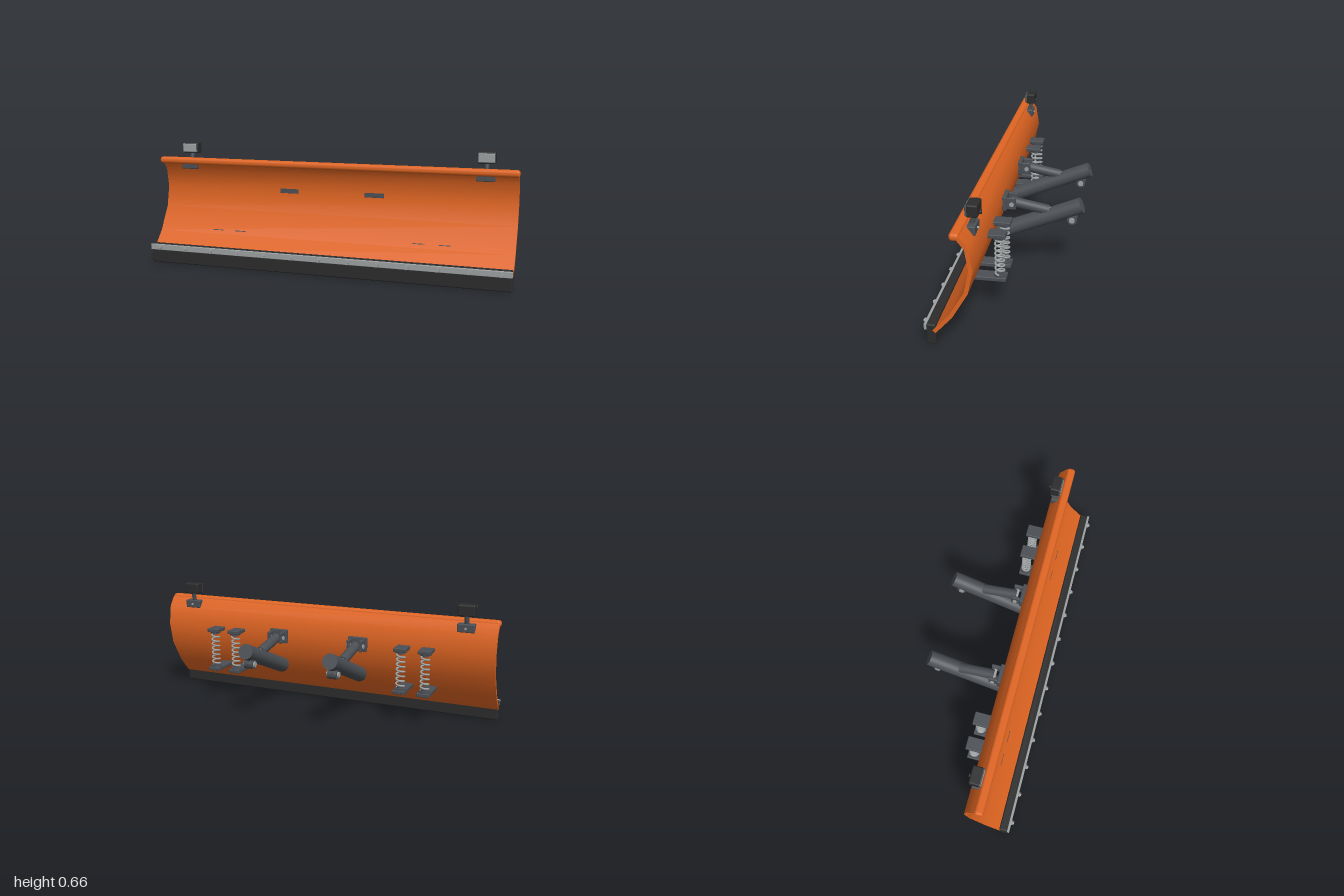
import * as THREE from 'three';
import { toCreasedNormals } from 'three/addons/utils/BufferGeometryUtils.js';
import { RoundedBoxGeometry } from 'three/addons/geometries/RoundedBoxGeometry.js';

const mat = (name, color) => Object.assign(new THREE.MeshStandardMaterial({ color }), { name });

export function createModel() {
  const orange = mat('orange paint', 0xe06522);
  const rubber = mat('black rubber', 0x2c2c2c);
  const iron = mat('dark steel', 0x4b4f54);
  const steel = mat('bright steel', 0x9da1a1);
  const root = new THREE.Group();
  root.name = 'snowPlow';

  const add = (parent, name, geometry, material, x = 0, y = 0, z = 0) => {
    const mesh = new THREE.Mesh(geometry, material);
    mesh.name = name;
    mesh.position.set(x, y, z);
    parent.add(mesh);
    return mesh;
  };
  const group = (name, x) => {
    const g = new THREE.Group();
    g.name = name;
    g.position.x = x;
    root.add(g);
    return g;
  };
  // Box given by its x range centre/width and its y and z limits
  const box = (parent, name, material, x, w, y0, y1, z0, z1, r = 0.004) =>
    add(parent, name, new RoundedBoxGeometry(w, y1 - y0, z1 - z0, 2, r), material, x, (y0 + y1) / 2, (z0 + z1) / 2);
  // Cylinder between two points
  const rod = (parent, name, material, a, b, r, sides = 24) => {
    const from = new THREE.Vector3(...a), to = new THREE.Vector3(...b);
    const dir = to.clone().sub(from);
    const mesh = add(parent, name, new THREE.CylinderGeometry(r, r, dir.length(), sides), material);
    mesh.position.copy(from).add(to).multiplyScalar(0.5);
    mesh.quaternion.setFromUnitVectors(new THREE.Vector3(0, 1, 0), dir.normalize());
    return mesh;
  };

  // Curved blade: centre line as (z, y), thickened and extruded along x
  const line = [[0.279, 0.068], [0.199, 0.157], [0.122, 0.288], [0.097, 0.405], [0.114, 0.512], [0.152, 0.562]]
    .map(p => new THREE.Vector2(...p));
  const side = s => line.map((p, i) => {
    const d = line[Math.min(i + 1, line.length - 1)].clone().sub(line[Math.max(i - 1, 0)]).normalize();
    return new THREE.Vector2(p.x + d.y * s, p.y - d.x * s);
  });
  const section = new THREE.Shape([...side(0.0095), ...side(-0.0095).reverse()]);
  const blade = new THREE.ExtrudeGeometry(section, { depth: 1.99, bevelEnabled: false });
  blade.translate(0, 0, -0.995).rotateY(-Math.PI / 2);
  add(root, 'blade', toCreasedNormals(blade, 0.6), orange);
  box(root, 'topRoll', orange, 0, 2, 0.545, 0.582, 0.144, 0.191, 0.016);

  // Rubber edge with its bolted clamp strip
  box(root, 'rubberEdge', rubber, 0, 1.99, 0, 0.105, 0.271, 0.317, 0.008);
  box(root, 'clampStrip', steel, 0, 1.99, 0.074, 0.106, 0.314, 0.327, 0.003);
  for (let i = -6; i <= 6; i++) {
    const x = i * 0.1565;
    rod(root, 'boltHead', steel, [x, 0.089, 0.324], [x, 0.089, 0.335], 0.014, 6);
    rod(root, 'boltTip', steel, [x, 0.089, 0.333], [x, 0.089, 0.341], 0.008, 12);
  }

  // Trip springs between two plates
  class Helix extends THREE.Curve {
    getPoint(t, out = new THREE.Vector3()) {
      const a = t * 7.5 * Math.PI * 2;
      return out.set(Math.cos(a) * 0.022, 0.192 + t * 0.2, Math.sin(a) * 0.022);
    }
  }
  const coil = new THREE.TubeGeometry(new Helix(), 150, 0.0052, 8);
  for (const x of [-0.64, -0.505, 0.505, 0.64]) {
    const g = group('springUnit', x);
    box(g, 'lowerPlate', iron, 0, 0.07, 0.164, 0.185, 0.004, 0.196);
    box(g, 'upperPlate', iron, 0, 0.07, 0.398, 0.419, 0.004, 0.1);
    rod(g, 'lowerSeat', iron, [0, 0.184, 0.038], [0, 0.193, 0.038], 0.03);
    rod(g, 'upperSeat', iron, [0, 0.39, 0.038], [0, 0.399, 0.038], 0.03);
    rod(g, 'lowerStud', iron, [0, 0.19, 0.038], [0, 0.202, 0.038], 0.017);
    rod(g, 'upperStud', iron, [0, 0.382, 0.038], [0, 0.392, 0.038], 0.017);
    add(g, 'spring', coil, steel, 0, 0, 0.038);
  }

  // Push arms with their braces
  for (const x of [-0.242, 0.242]) {
    const g = group('pushArm', x);
    rod(g, 'mainTube', iron, [0, 0.217, 0.121], [0, 0.401, -0.32], 0.042, 32);
    rod(g, 'braceTube', iron, [0, 0.396, 0.045], [0, 0.36, -0.148], 0.027);
    rod(g, 'braceRod', steel, [0, 0.361, -0.14], [0, 0.354, -0.18], 0.019);
    box(g, 'bracketPlate', iron, 0, 0.108, 0.362, 0.44, 0.07, 0.092);
    box(g, 'bracketTongue', iron, 0, 0.108, 0.395, 0.425, 0.08, 0.109, 0.003);
    for (const s of [-1, 1]) box(g, 'bracketLug', iron, s * 0.036, 0.016, 0.368, 0.432, 0.022, 0.08);
    rod(g, 'bracketPin', steel, [-0.05, 0.398, 0.043], [0.05, 0.398, 0.043], 0.012);
    // Eye under the rear of the arm
    const lug = box(g, 'eyeLug', iron, 0, 0.04, 0.316, 0.35, -0.295, -0.25);
    lug.rotation.x = 0.39;
    rod(g, 'eye', iron, [-0.026, 0.322, -0.272], [0.026, 0.322, -0.272], 0.026);
    rod(g, 'eyePin', steel, [-0.034, 0.322, -0.272], [0.034, 0.322, -0.272], 0.015);
  }

  // Marker lamps
  for (const x of [-0.83, 0.83]) {
    const g = group('lamp', x);
    box(g, 'clamp', iron, 0, 0.094, 0.515, 0.56, 0.099, 0.156, 0.005);
    rod(g, 'clampBolt', steel, [0, 0.537, 0.1], [0, 0.537, 0.091], 0.006, 12);
    rod(g, 'post', iron, [0, 0.54, 0.126], [0, 0.618, 0.109], 0.012);
    box(g, 'housing', rubber, 0, 0.092, 0.603, 0.664, 0.086, 0.14, 0.008);
    box(g, 'bezel', iron, 0, 0.09, 0.607, 0.66, 0.132, 0.146, 0.005);
    box(g, 'lens', steel, 0, 0.082, 0.611, 0.656, 0.141, 0.148, 0.003);
    rod(g, 'knob', rubber, [0, 0.615, 0.09], [0, 0.615, 0.077], 0.01, 16);
  }
  return root;
}
